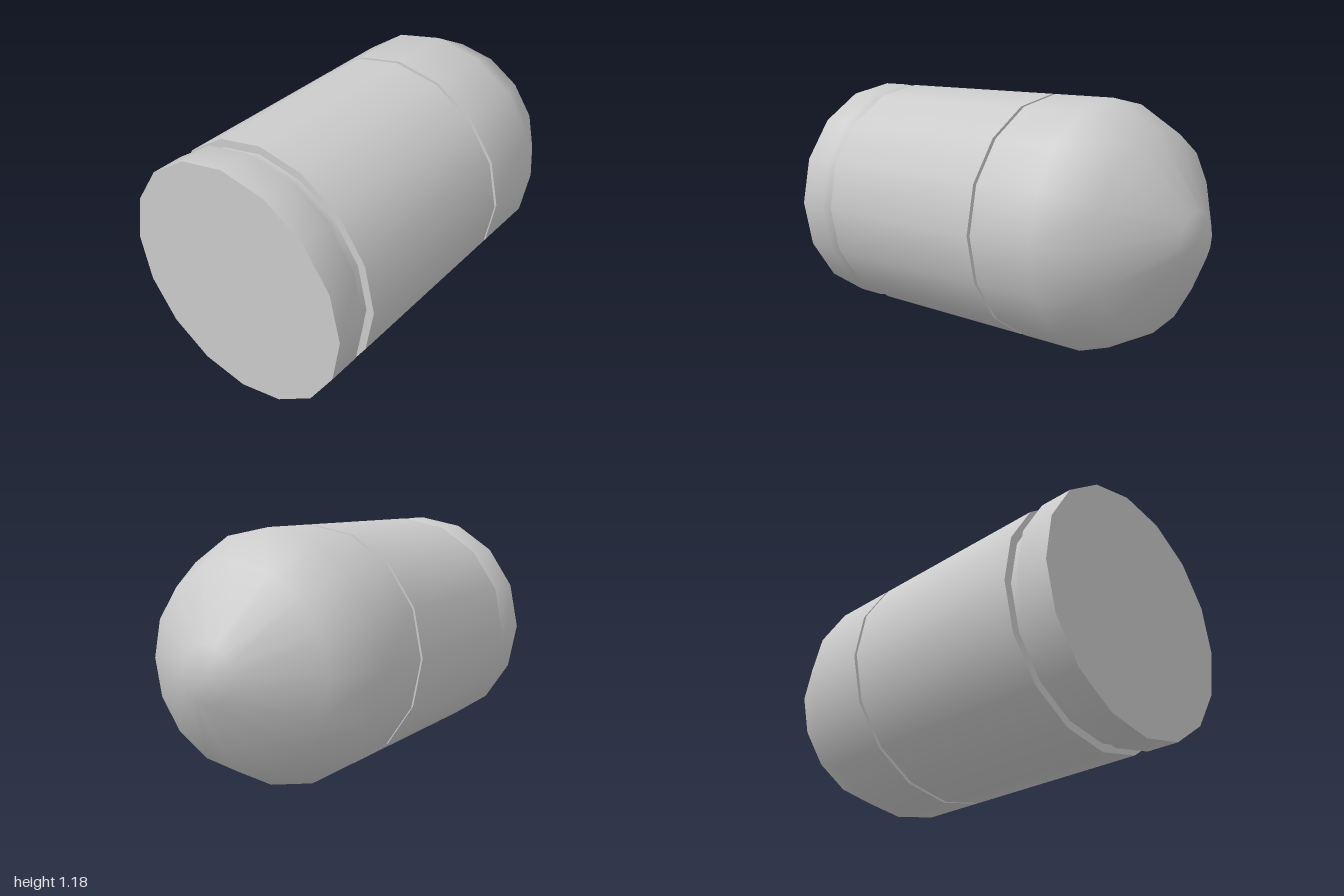
import * as THREE from 'three';

const SIDES = 16;
const R = 0.592;       // outer radius
const GROOVE = 0.553;  // extraction groove radius
const NECK = 0.568;    // seam radius between case and nose

export function createModel() {
  const group = new THREE.Group();
  const material = new THREE.MeshStandardMaterial({ color: 0xcccccc });

  // Turns a profile of [position along x, radius] pairs around the long axis
  const turned = (name, profile) => {
    const points = profile.map(([x, r]) => new THREE.Vector2(r, x));
    const geometry = new THREE.LatheGeometry(points, SIDES);
    geometry.rotateZ(-Math.PI / 2);
    geometry.translate(0, R, 0);
    const mesh = new THREE.Mesh(geometry, material);
    mesh.name = name;
    group.add(mesh);
  };

  // Case: flat base, rim flowing into the groove, then the straight body
  turned('base', [[-1, 0], [-1, R]]);
  turned('rim', [[-1, R], [-0.843, R], [-0.843, GROOVE], [-0.775, GROOVE]]);
  turned('bodyShoulder', [[-0.775, GROOVE], [-0.775, R]]);
  turned('body', [[-0.775, R], [0.19, R]]);
  turned('bodyMouth', [[0.19, R], [0.19, NECK]]);

  // Narrow seam, then the rounded nose with a small blunt tip
  turned('seam', [[0.19, NECK], [0.208, NECK]]);
  turned('noseShoulder', [[0.208, NECK], [0.208, R]]);
  turned('nose', [[0.208, R], [0.545, R], [0.79, 0.465], [1, 0.13], [1, 0]]);

  return group;
}
